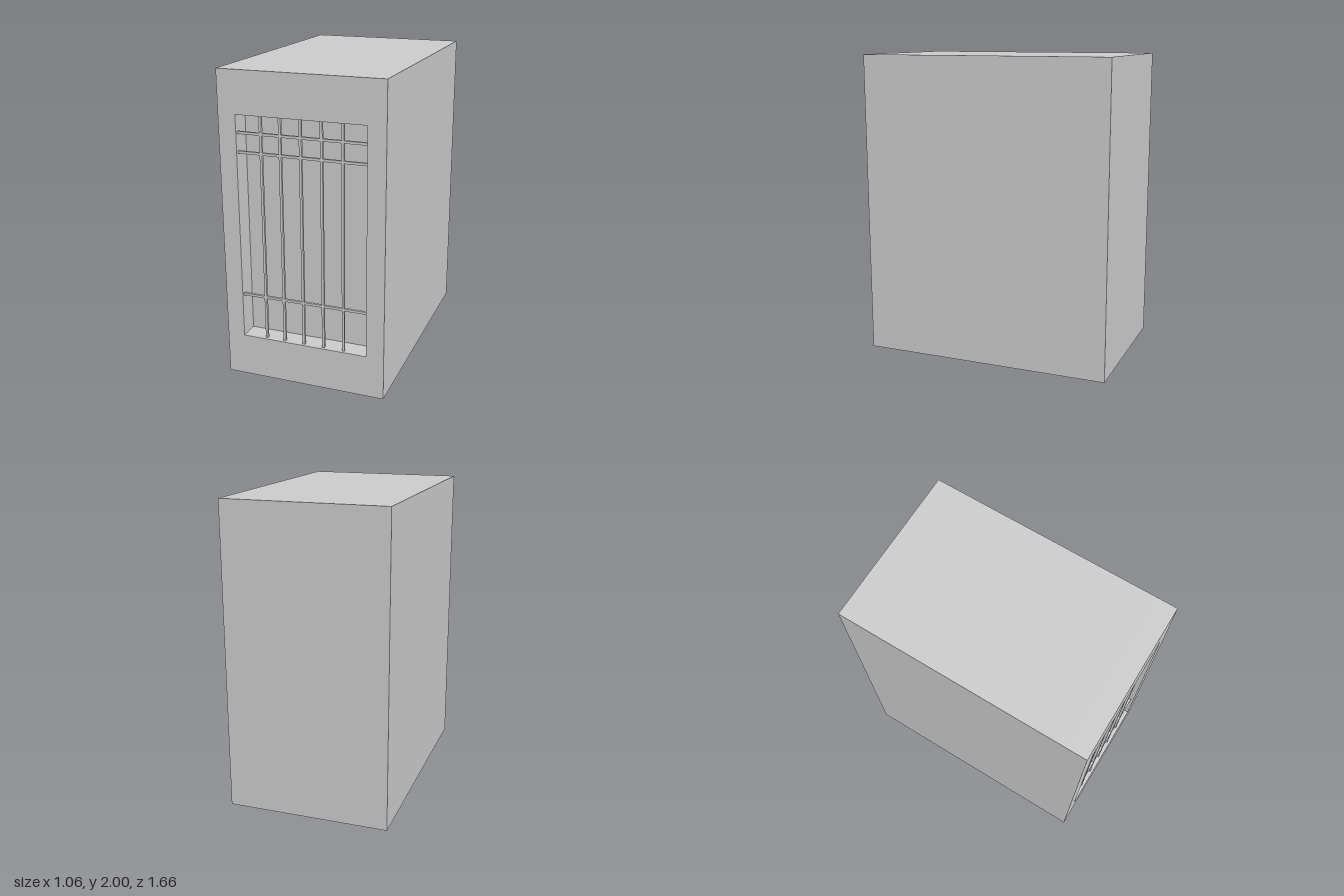
import * as THREE from 'three';

const WIDTH = 1.06, HEIGHT = 2, DEPTH = 1.66;
const RECESS = 0.13;
const OPENING = { left: -0.415, right: 0.415, bottom: 0.275, top: 1.73 };
const BAR = 0.016;

export function createModel() {
  const group = new THREE.Group();
  const material = new THREE.MeshStandardMaterial({ color: 0xcccccc });
  const front = DEPTH / 2;

  function add(name, geometry, x, y, z) {
    const mesh = new THREE.Mesh(geometry, material);
    mesh.name = name;
    mesh.position.set(x, y, z);
    group.add(mesh);
  }

  // Solid body; its front face is the back of the recess
  add('body', new THREE.BoxGeometry(WIDTH, HEIGHT, DEPTH - RECESS), 0, HEIGHT / 2, -RECESS / 2);

  // Front frame with the window opening cut through it
  const { left, right, bottom, top } = OPENING;
  const outline = new THREE.Shape([
    new THREE.Vector2(-WIDTH / 2, 0),
    new THREE.Vector2(WIDTH / 2, 0),
    new THREE.Vector2(WIDTH / 2, HEIGHT),
    new THREE.Vector2(-WIDTH / 2, HEIGHT),
  ]);
  outline.holes.push(new THREE.Path([
    new THREE.Vector2(left, bottom),
    new THREE.Vector2(left, top),
    new THREE.Vector2(right, top),
    new THREE.Vector2(right, bottom),
  ]));
  add('frontFrame', new THREE.ExtrudeGeometry(outline, { depth: RECESS, bevelEnabled: false }),
    0, 0, front - RECESS);

  // Grille bars set slightly behind the front face
  const barZ = front - 0.026;
  for (const x of [-0.263, -0.138, -0.007, 0.126, 0.259]) {
    add('verticalBar', new THREE.BoxGeometry(BAR, top - bottom, BAR), x, (top + bottom) / 2, barZ);
  }
  for (const y of [0.558, 1.496, 1.617]) {
    add('horizontalBar', new THREE.BoxGeometry(right - left, BAR, BAR), 0, y, barZ);
  }

  return group;
}
